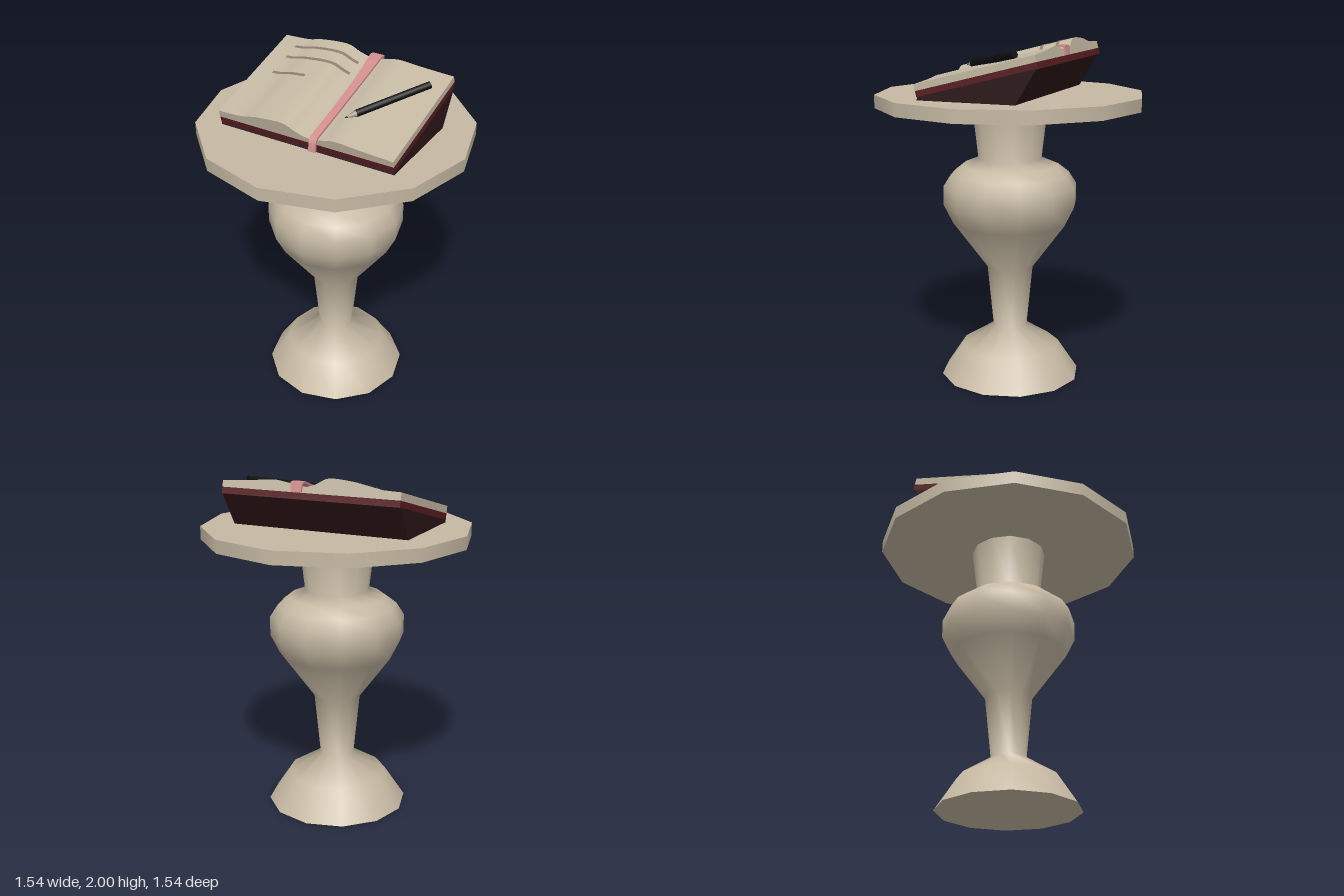
import * as THREE from 'three';
import { toCreasedNormals } from 'three/addons/utils/BufferGeometryUtils.js';

const mat = (name, color, side = THREE.FrontSide) => {
  const m = new THREE.MeshStandardMaterial({ color, side });
  m.name = name;
  return m;
};

const V2 = (p) => new THREE.Vector2(p[0], p[1]);

// Surface swept through rings of points; closed around each ring, capped at both ends
function loft(rings) {
  const pos = rings.flat(2), n = rings[0].length, idx = [];
  for (let i = 0; i < rings.length - 1; i++)
    for (let j = 0; j < n; j++) {
      const a = i * n + j, b = i * n + (j + 1) % n;
      idx.push(a, b, a + n, b, b + n, a + n);
    }
  const e = (rings.length - 1) * n;
  for (let j = 1; j < n - 1; j++) idx.push(0, j + 1, j, e, e + j, e + j + 1);
  const g = new THREE.BufferGeometry();
  g.setAttribute('position', new THREE.Float32BufferAttribute(pos, 3));
  g.setIndex(idx);
  return toCreasedNormals(g, 0.8);
}

export function createModel() {
  const root = new THREE.Group();
  const stone = mat('stone', 0xc6b9a3);
  const paper = mat('paper', 0xc4b8a2);
  const cover = mat('coverRed', 0x571c21);
  const dark = mat('wedgeDark', 0x2c1517);
  const ink = mat('ink', 0x8c7d6d, THREE.DoubleSide);
  const pink = mat('ribbonPink', 0xd18d8c, THREE.DoubleSide);
  const black = mat('pencilBlack', 0x0c0c0c);
  const wood = mat('pencilWood', 0xa39682);

  const add = (parent, name, geo, material) => {
    const m = new THREE.Mesh(geo, material);
    m.name = name;
    parent.add(m);
    return m;
  };

  // Turned pedestal
  const profile = [
    [0.41, 0], [0.29, 0.18], [0.1, 0.3], [0.135, 0.66], [0.335, 0.93], [0.39, 1.04],
    [0.39, 1.15], [0.345, 1.22], [0.28, 1.27], [0.185, 1.31], [0.22, 1.615],
  ].map(V2);
  add(root, 'pedestal', new THREE.LatheGeometry(profile, 12), stone);
  const foot = add(root, 'pedestalBottom', new THREE.CircleGeometry(0.41, 12), stone);
  foot.rotation.x = Math.PI / 2;

  // Twelve-sided table top
  const top = add(root, 'tableTop', new THREE.CylinderGeometry(0.77, 0.77, 0.075, 12), stone);
  top.position.y = 1.6475;

  // Wedge that props the book up, drawn in (z, y) and extruded across x
  const wedge = new THREE.ExtrudeGeometry(
    new THREE.Shape([[-0.327, 1.686], [0.24, 1.686], [0.357, 1.878], [-0.32, 1.705]].map(V2)),
    { depth: 1.06, bevelEnabled: false });
  wedge.translate(0, 0, -0.53).rotateY(Math.PI / 2);
  add(root, 'bookWedge', wedge, dark);

  // Tilted book: origin at the front edge of the cover's upper face
  const book = new THREE.Group();
  book.name = 'book';
  book.position.set(0, 1.735, 0.335);
  book.rotation.x = 0.25;
  root.add(book);

  const L = 0.712;
  const board = add(book, 'bookCover', new THREE.BoxGeometry(1.06, 0.036, L), cover);
  board.position.set(0, -0.018, -L / 2);

  // Open pages with a wavy upper surface
  const wave = new THREE.SplineCurve([
    [-0.53, 0.042], [-0.38, 0.05], [-0.28, 0.074], [-0.12, 0.086], [-0.04, 0.05], [0.03, 0.03],
    [0.1, 0.038], [0.2, 0.06], [0.35, 0.048], [0.53, 0.037],
  ].map(V2)).getPoints(45);
  const height = (x) => {
    const i = Math.max(1, wave.findIndex((p) => p.x >= x));
    const a = wave[i - 1], b = wave[i];
    return a.y + (b.y - a.y) * (x - a.x) / (b.x - a.x);
  };
  const pages = new THREE.ExtrudeGeometry(
    new THREE.Shape([V2([-0.53, 0]), V2([0.53, 0]), ...[...wave].reverse()]),
    { depth: L, bevelEnabled: false });
  pages.translate(0, 0, -L);
  add(book, 'pages', toCreasedNormals(pages, 0.7), paper);

  // Written lines following the left page
  for (const [x0, x1, z] of [[-0.42, -0.01, -0.627], [-0.42, -0.01, -0.529], [-0.42, -0.205, -0.384]]) {
    const g = new THREE.PlaneGeometry(x1 - x0, 0.02, 24, 1);
    g.rotateX(-Math.PI / 2).translate((x0 + x1) / 2, 0, z);
    const p = g.attributes.position;
    for (let i = 0; i < p.count; i++) p.setY(i, height(p.getX(i)) + 0.003);
    g.computeVertexNormals();
    add(book, 'writtenLine', g, ink);
  }

  // Ribbon bookmark: [z, y, centre x, half width], folded over the back and front edges
  const path = [
    [-0.722, 0.0, 0.065, 0.03], [-0.724, 0.05, 0.065, 0.036], [-0.7, 0.058, 0.065, 0.036],
    [-0.6, 0.052, 0.068, 0.03], [-0.45, 0.05, 0.072, 0.025], [-0.2, 0.05, 0.075, 0.022],
    [-0.01, 0.052, 0.076, 0.021], [0.015, 0.045, 0.076, 0.021], [0.03, 0.02, 0.076, 0.021],
    [0.043, -0.012, 0.076, 0.021],
  ];
  add(book, 'ribbon', loft(path.map(([z, y, x, w], i) => {
    const a = path[Math.max(0, i - 1)], b = path[Math.min(path.length - 1, i + 1)];
    const d = new THREE.Vector2(b[0] - a[0], b[1] - a[1]).normalize().multiplyScalar(0.006);
    const up = [y + d.x, z - d.y], dn = [y - d.x, z + d.y];
    return [[x - w, ...up], [x + w, ...up], [x + w, ...dn], [x - w, ...dn]];
  })), pink);

  // Pencil lying on the right page, built along y from its tip
  const tip = new THREE.Vector3(0.165, 0.076, -0.166);
  const end = new THREE.Vector3(0.455, 0.063, -0.577);
  const len = tip.distanceTo(end);
  const pencil = new THREE.Group();
  pencil.name = 'pencil';
  pencil.position.copy(tip);
  pencil.quaternion.setFromUnitVectors(new THREE.Vector3(0, 1, 0), end.clone().sub(tip).normalize());
  book.add(pencil);
  const piece = (name, r0, r1, y0, y1, m) => {
    const g = new THREE.CylinderGeometry(r1, r0, y1 - y0, 8);
    g.translate(0, (y0 + y1) / 2, 0);
    add(pencil, name, g, m);
  };
  piece('pencilLead', 0.001, 0.005, 0, 0.016, black);
  piece('pencilPoint', 0.005, 0.019, 0.016, 0.065, wood);
  piece('pencilBody', 0.02, 0.02, 0.065, len, black);

  return root;
}
